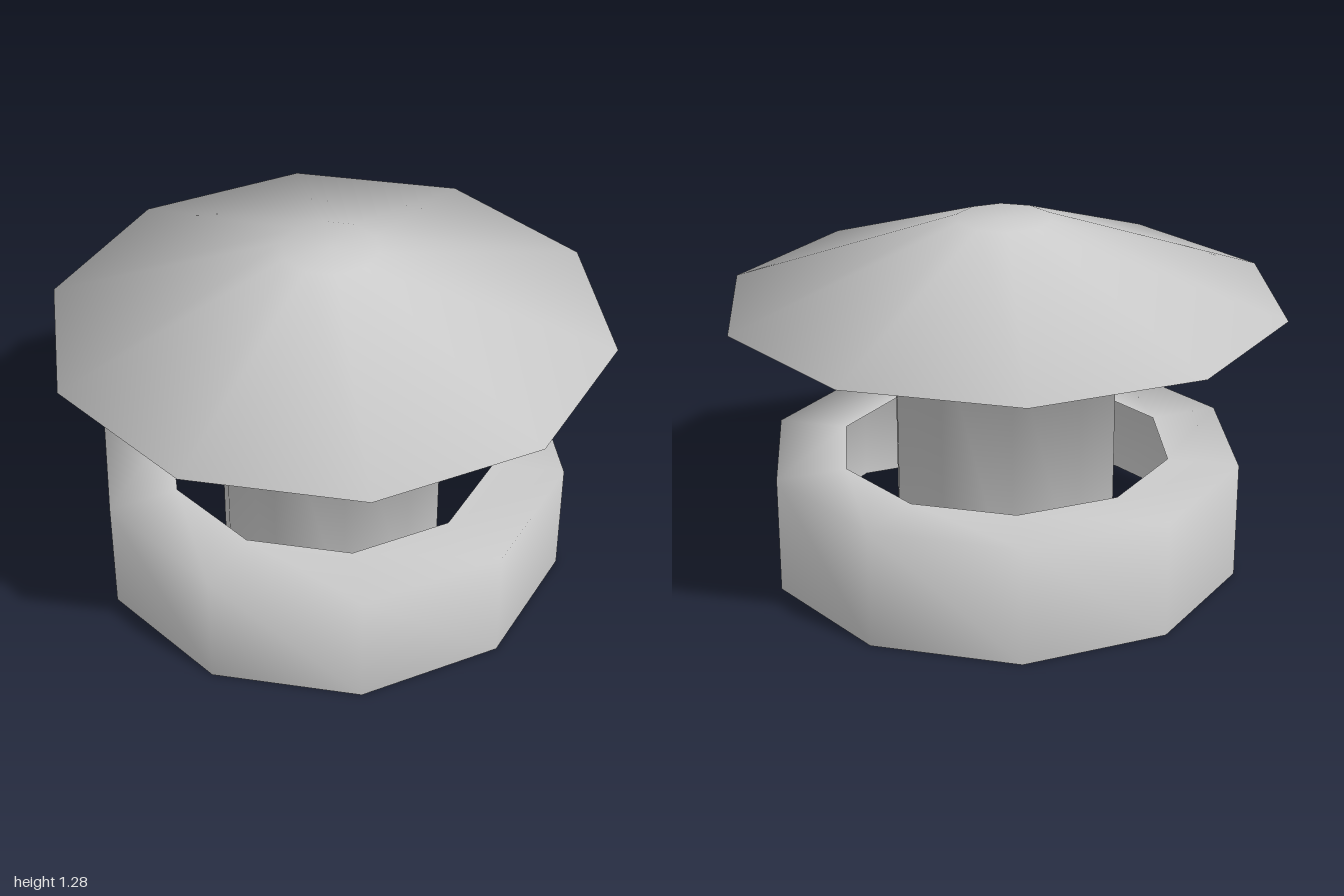
import * as THREE from 'three';
import { mergeVertices } from 'three/addons/utils/BufferGeometryUtils.js';

const SIDES = 10;
const material = new THREE.MeshStandardMaterial({ color: 0xcccccc, side: THREE.DoubleSide });

// Ten-sided turned shell with fully smoothed normals; profile is [radius, height] pairs
function turned(name, profile) {
  const points = profile.map(([r, y]) => new THREE.Vector2(r, y));
  const lathe = new THREE.LatheGeometry(points, SIDES, Math.PI / 2);
  lathe.deleteAttribute('normal');
  lathe.deleteAttribute('uv');
  const geometry = mergeVertices(lathe, 1e-4);
  geometry.computeVertexNormals();
  const mesh = new THREE.Mesh(geometry, material);
  mesh.name = name;
  return mesh;
}

export function createModel() {
  const group = new THREE.Group();
  group.name = 'roofVent';

  // Open pipe flaring into the flat underside and sloped top of the cap
  group.add(turned('pipeAndCap', [
    [0.405, 0], [0.405, 0.985], [1, 0.985], [0.17, 1.28], [0, 1.28],
  ]));

  // Collar: open below, with an inward lip on top
  group.add(turned('collar', [
    [0.855, 0], [0.855, 0.427], [0.6, 0.427],
  ]));

  return group;
}
